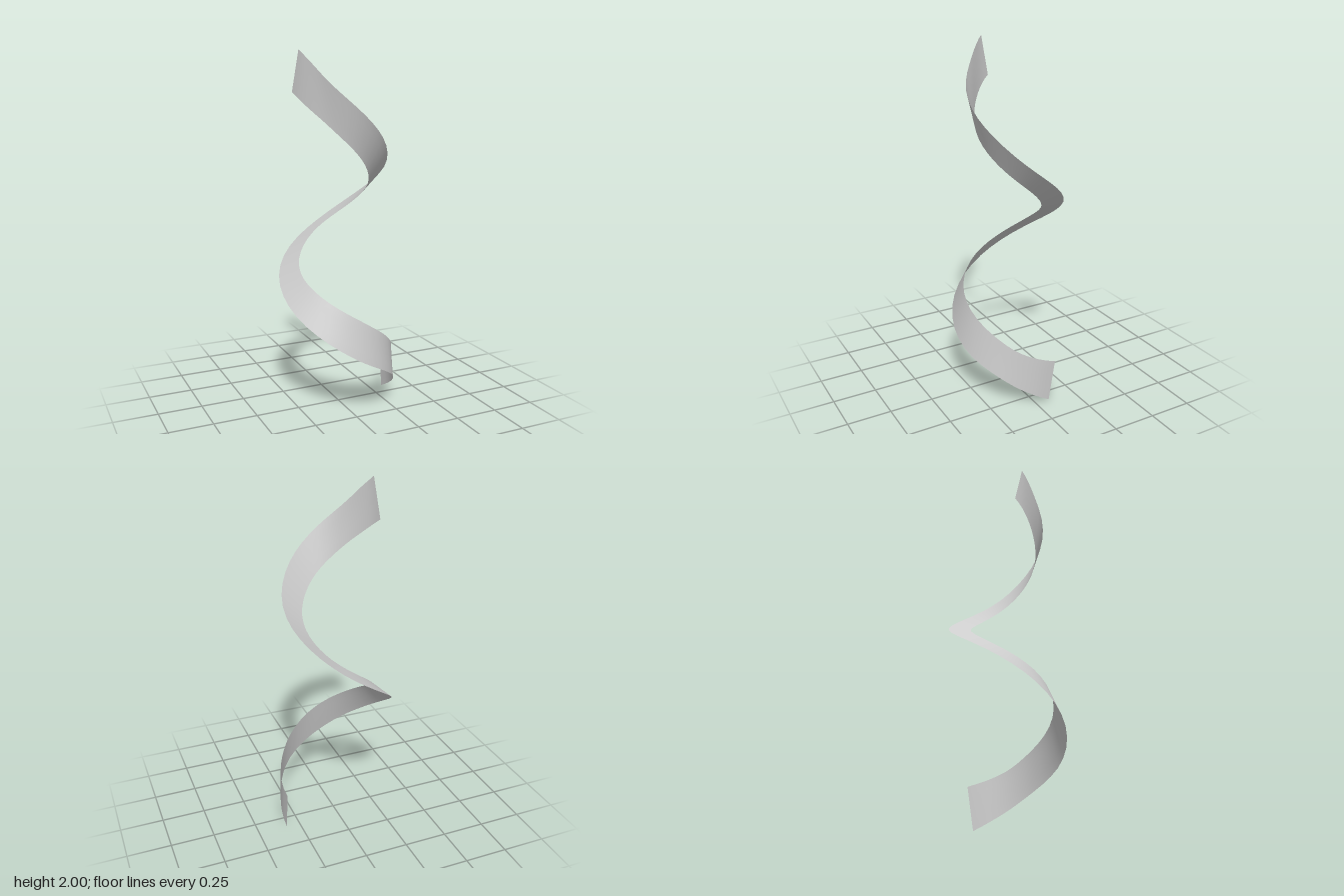
import * as THREE from 'three';

// Edge stations of the twisting ribbon: [angle in degrees, radius, height]
const firstEdge = [
  [-14.4, 0.341, 0], [16, 0.321, 0.105], [45, 0.319, 0.21], [90, 0.321, 0.345],
  [135, 0.328, 0.505], [180, 0.333, 0.675], [225, 0.335, 0.845], [270, 0.323, 1.015],
  [315, 0.305, 1.19], [360, 0.286, 1.36], [405, 0.256, 1.54], [450, 0.233, 1.705],
  [495, 0.211, 1.86], [514, 0.218, 1.93], [533, 0.242, 2.0],
];
const secondEdge = [
  [-20, 0.353, 0.24], [16, 0.311, 0.33], [45, 0.289, 0.43], [90, 0.267, 0.57],
  [135, 0.245, 0.69], [180, 0.23, 0.8], [225, 0.211, 0.915], [270, 0.2, 1.03],
  [315, 0.181, 1.14], [360, 0.172, 1.25], [405, 0.167, 1.365], [450, 0.174, 1.49],
  [495, 0.186, 1.62], [520, 0.214, 1.695], [544.4, 0.261, 1.78],
];

// Smooth curve through the stations, kept in cylindrical coordinates
const edgeCurve = (stations) => new THREE.CatmullRomCurve3(
  stations.map(([a, r, y]) => new THREE.Vector3(THREE.MathUtils.degToRad(a), r, y)));

const toPoint = ({ x: angle, y: radius, z: height }) =>
  [radius * Math.cos(angle), height, radius * Math.sin(angle)];

function ribbonGeometry(curveA, curveB, along, across) {
  const positions = [], indices = [];
  for (let i = 0; i <= along; i++) {
    const a = toPoint(curveA.getPoint(i / along));
    const b = toPoint(curveB.getPoint(i / along));
    for (let j = 0; j <= across; j++) {
      positions.push(...a.map((v, k) => THREE.MathUtils.lerp(v, b[k], j / across)));
    }
  }
  const row = across + 1;
  for (let i = 0; i < along; i++) {
    for (let j = 0; j < across; j++) {
      const p = i * row + j;
      indices.push(p, p + row, p + 1, p + 1, p + row, p + row + 1);
    }
  }
  const geometry = new THREE.BufferGeometry();
  geometry.setAttribute('position', new THREE.Float32BufferAttribute(positions, 3));
  geometry.setIndex(indices);
  geometry.computeVertexNormals();
  return geometry;
}

export function createModel() {
  const group = new THREE.Group();
  group.name = 'spiralRibbon';
  // One open strip, visible from both sides
  const material = new THREE.MeshStandardMaterial({ color: 0xcccccc, side: THREE.DoubleSide });
  const ribbon = new THREE.Mesh(
    ribbonGeometry(edgeCurve(firstEdge), edgeCurve(secondEdge), 56, 4), material);
  ribbon.name = 'ribbon';
  group.add(ribbon);
  return group;
}
